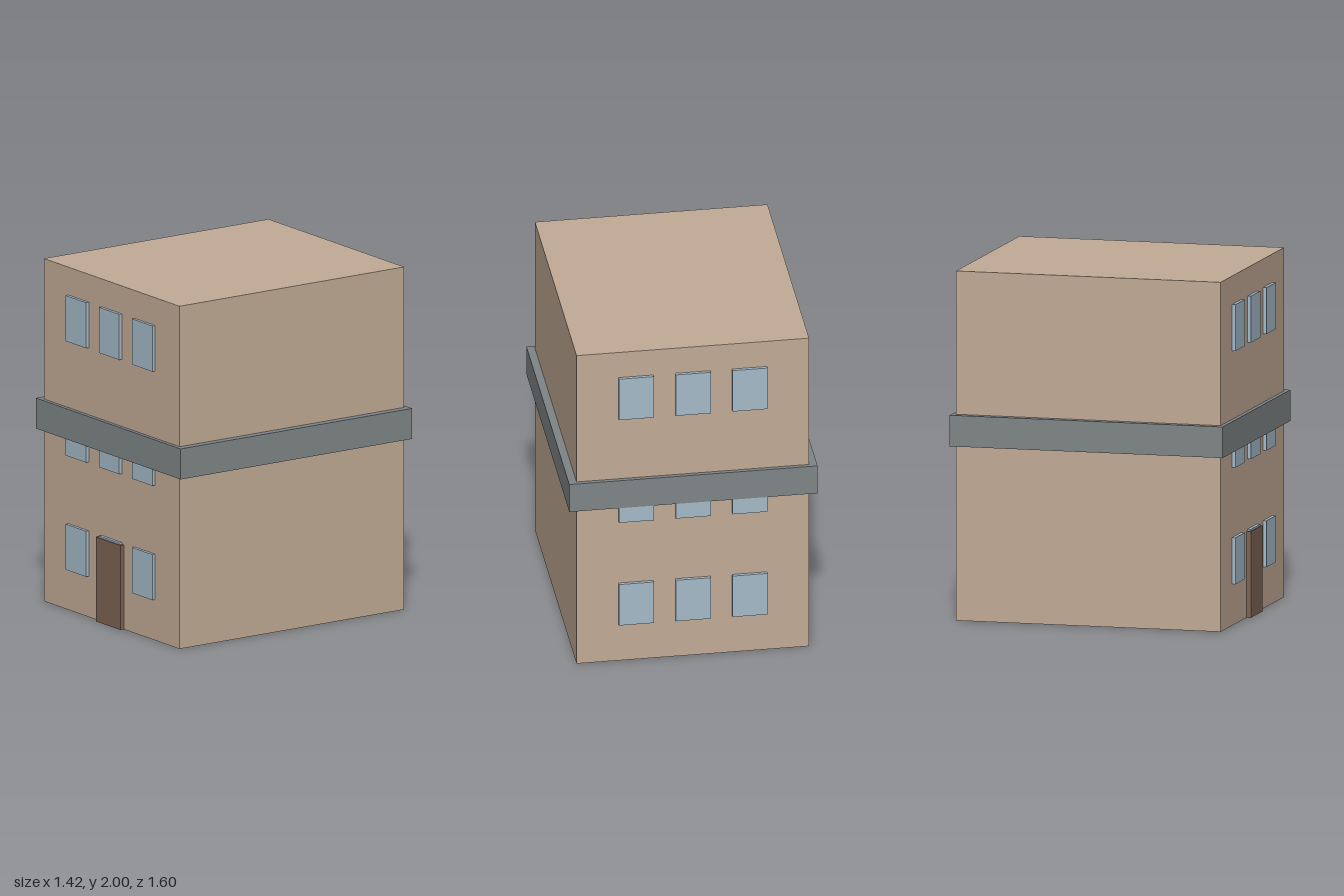
import * as THREE from 'three';

const material = (name, color) => {
  const m = new THREE.MeshStandardMaterial({ color });
  m.name = name;
  return m;
};

export function createModel() {
  const building = new THREE.Group();
  building.name = 'building';

  const wall = material('tan wall', 0xc2ab96);
  const glass = material('pale blue glass', 0xa4bac9);
  const concrete = material('grey concrete', 0x7f8587);
  const wood = material('brown wood', 0x7e6453);

  // Box given by its centre in x and z and its base height
  const addBox = (parent, name, mat, [w, h, d], [x, y, z]) => {
    const mesh = new THREE.Mesh(new THREE.BoxGeometry(w, h, d), mat);
    mesh.name = name;
    mesh.position.set(x, y + h / 2, z);
    parent.add(mesh);
  };

  const wallZ = 0.777;

  // Main block and the ledge wrapped around it
  addBox(building, 'walls', wall, [1.33, 2, wallZ * 2], [0, 0, 0]);
  addBox(building, 'ledge', concrete, [1.42, 0.178, 1.602], [0, 1.002, 0]);

  // Three rows of three windows on the front and the back
  for (const [side, label] of [[1, 'front'], [-1, 'back']]) {
    const windows = new THREE.Group();
    windows.name = `${label}Windows`;
    for (const sill of [0.237, 0.904, 1.571]) {
      for (const x of [-0.325, 0, 0.325]) {
        addBox(windows, 'window', glass, [0.2, 0.266, 0.04], [x, sill, side * (wallZ - 0.001)]);
      }
    }
    building.add(windows);
  }

  // Front door, standing just proud of the window behind it
  addBox(building, 'door', wood, [0.24, 0.493, 0.05], [0, 0, wallZ]);

  return building;
}
